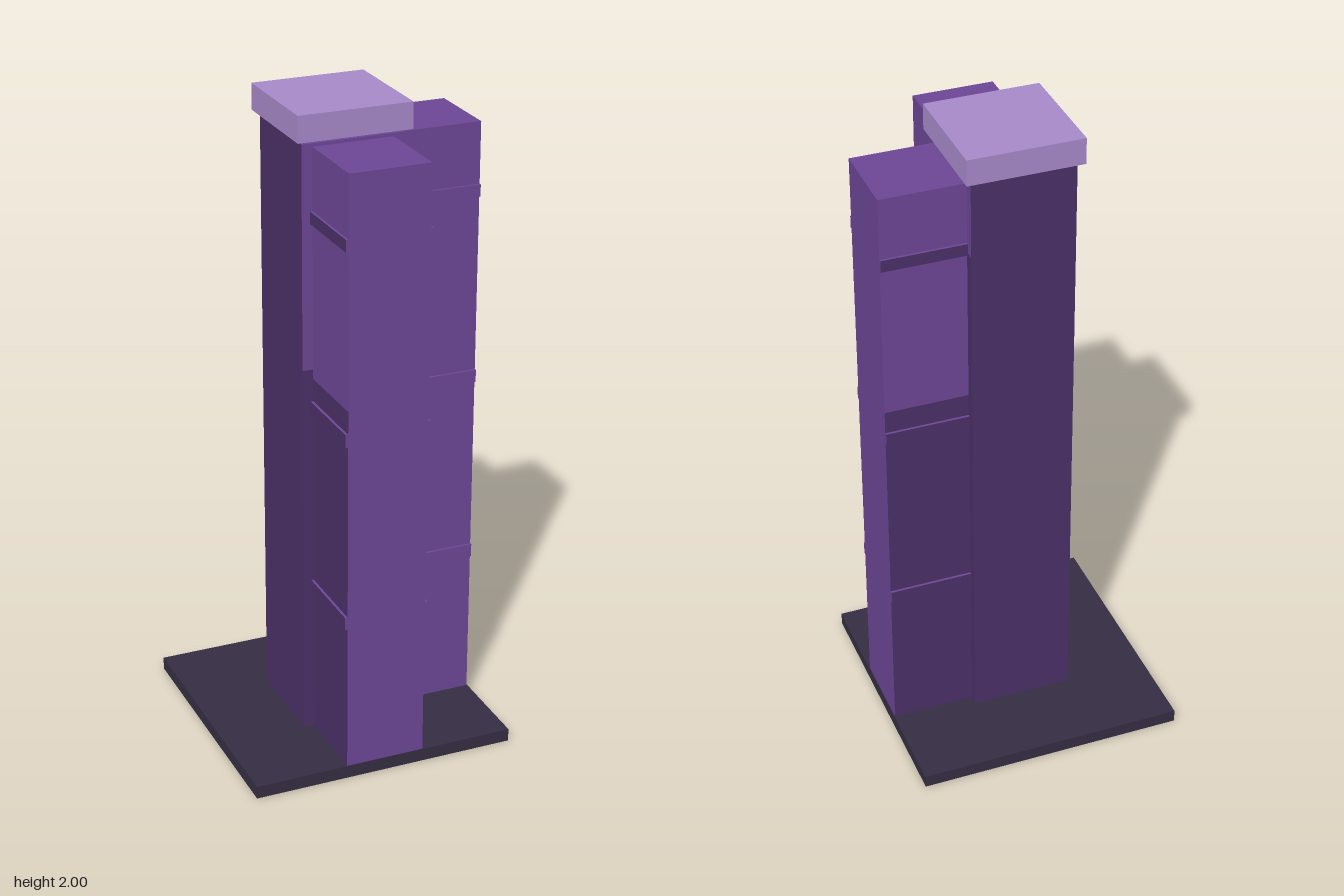
import * as THREE from 'three';

const mat = (name, color) => Object.assign(new THREE.MeshStandardMaterial({ color }), { name });

export function createModel() {
  const model = new THREE.Group();
  model.name = 'tower';
  const light = mat('purple', 0x6c4594);
  const dark = mat('deepPurple', 0x4a2f66);
  const lilac = mat('lilac', 0xa688c8);
  const slate = mat('darkSlate', 0x352d42);

  // Box from its limits; material may be one or six (+x, -x, +y, -y, +z, -z)
  const box = (name, x0, x1, y0, y1, z0, z1, material, parent = model) => {
    const mesh = new THREE.Mesh(new THREE.BoxGeometry(x1 - x0, y1 - y0, z1 - z0), material);
    mesh.position.set((x0 + x1) / 2, (y0 + y1) / 2, (z0 + z1) / 2);
    mesh.name = name;
    parent.add(mesh);
  };

  // Base plate
  box('base', -0.415, 0.415, 0, 0.04, -0.415, 0.415, slate);

  // Corner post, with the two inner faces turning lighter higher up
  const P = 0.157;
  const post = new THREE.Group();
  post.name = 'post';
  model.add(post);
  box('postLower', -P, P, 0.04, 1.23, -P, P, dark, post);
  box('postMiddle', -P, P, 1.23, 1.68, -P, P, [dark, dark, dark, dark, light, dark], post);
  box('postUpper', -P, P, 1.68, 1.91, -P, P, [light, dark, light, dark, light, dark], post);

  // Cap slab, just clear of the post
  box('cap', -0.175, 0.175, 1.92, 2, -0.175, 0.175, lilac);

  // Wings: stacked wall and band courses [bottom, top, half width, outer side colour]
  const WALL = 0.124, BAND = 0.132;
  const courses = [
    [0.04, 0.505, WALL, dark],
    [0.505, 0.545, BAND, dark],
    [0.545, 1.09, WALL, dark],
    [1.09, 1.13, BAND, dark],
    [1.13, 1.2, WALL, dark],
    [1.2, 1.675, WALL, light],
    [1.675, 1.712, BAND, dark],
    [1.712, 1.9, WALL, light],
  ];
  const inner = 0.15, outer = 0.413;
  const leftWing = new THREE.Group();
  const frontWing = new THREE.Group();
  leftWing.name = 'leftWing';
  frontWing.name = 'frontWing';
  model.add(leftWing, frontWing);
  for (const [y0, y1, w, side] of courses) {
    const name = w === BAND ? 'band' : 'wall';
    box(name, inner, outer, y0, y1, -w, w, [light, light, light, dark, light, side], leftWing);
    box(name, -w, w, y0, y1, inner, outer, [light, side, light, dark, light, light], frontWing);
  }
  return model;
}
